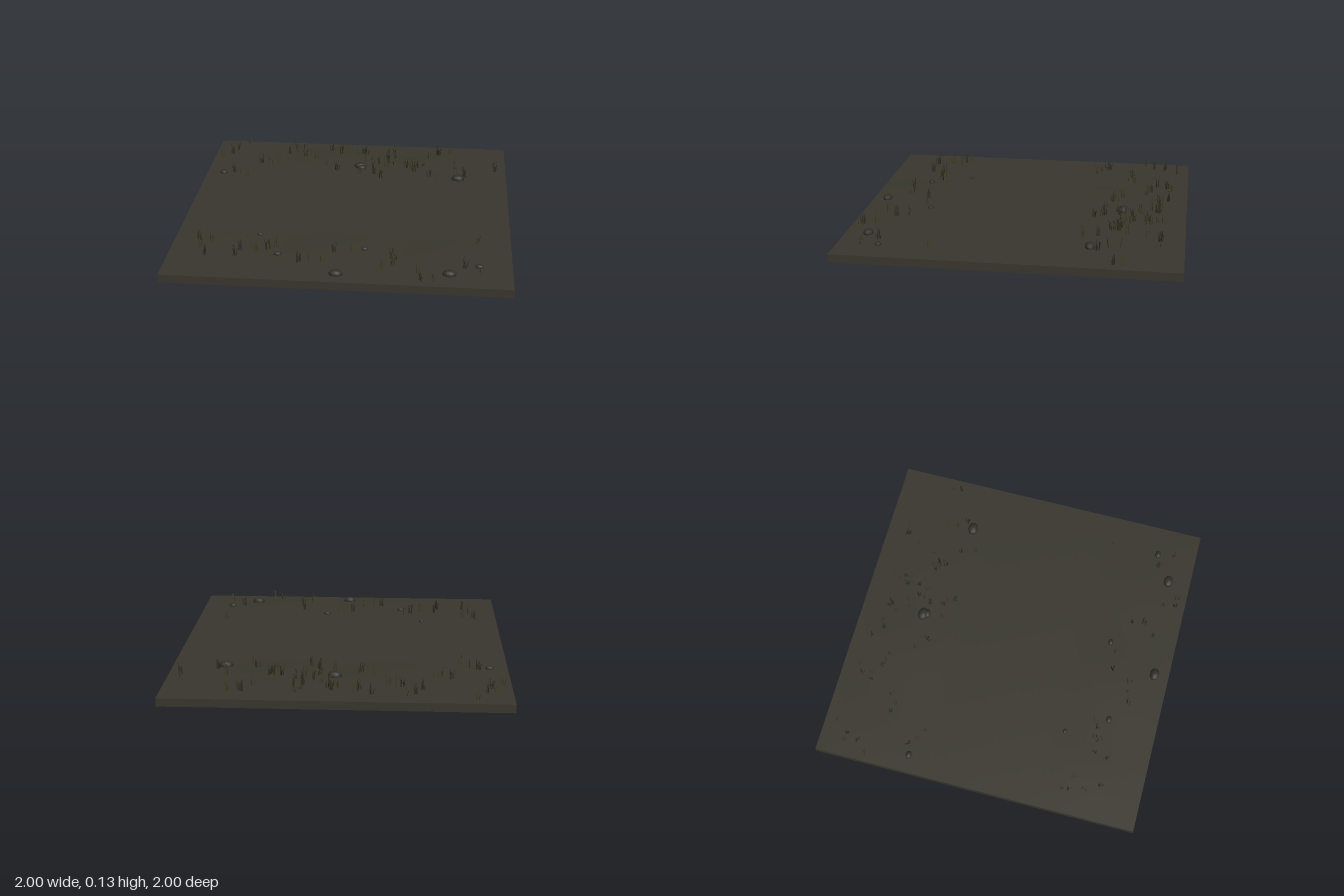
import * as THREE from 'three';

const material = (name, color, side = THREE.FrontSide) => {
  const m = new THREE.MeshStandardMaterial({ color, side });
  m.name = name;
  return m;
};
const soil = material('dark soil', 0x38362d);
const stone = material('dark stone', 0x30302a);
const grasses = [
  material('olive grass', 0x41402a, THREE.DoubleSide),
  material('dark grass', 0x2d2e21, THREE.DoubleSide),
];

// Small seeded random helper
let seed = 7;
const rand = (a, b) => {
  seed = (seed * 16807) % 2147483647;
  return a + (b - a) * (seed / 2147483647);
};

// Gentle verge swell on both sides of the flat middle strip
function groundHeight(x, z) {
  const t = (z > 0 ? z - 0.4 : -z - 0.34) / 0.6;
  if (t <= 0 || t >= 1 || Math.abs(x) >= 1) return 0.05;
  return 0.05 + 0.006 * Math.sin(Math.PI * t) * (1 - x * x) * (0.7 + 0.3 * Math.sin(x * 9 + z * 4));
}

function makeGround() {
  const geo = new THREE.BoxGeometry(2, 0.05, 2, 40, 1, 40).translate(0, 0.025, 0);
  const p = geo.attributes.position;
  for (let i = 0; i < p.count; i++) {
    if (p.getY(i) > 0.04) p.setY(i, groundHeight(p.getX(i), p.getZ(i)));
  }
  geo.computeVertexNormals();
  const mesh = new THREE.Mesh(geo, soil);
  mesh.name = 'groundSlab';
  return mesh;
}

// Squat, rounded stone half sunk in the ground
function makeRock(x, z, r) {
  const mesh = new THREE.Mesh(new THREE.SphereGeometry(1, 10, 7), stone);
  mesh.scale.set(r, r * 0.6, r * 0.75);
  mesh.position.set(x, groundHeight(x, z) + r * 0.15, z);
  mesh.name = 'rock';
  return mesh;
}

// Tuft of upright tapered blades, each leaning within its own vertical plane
function makeTuft(x, z, mat) {
  const pos = [];
  for (let i = 0; i < 7; i++) {
    const yaw = rand(0, Math.PI), c = Math.cos(yaw), s = Math.sin(yaw);
    const bx = rand(-0.012, 0.012), bz = rand(-0.012, 0.012);
    const h = rand(0.04, 0.08), w = 0.0035, lean = rand(-0.018, 0.018);
    const pt = (u, y) => [bx + u * c, y, bz + u * s];
    const a = pt(-w, -0.003), b = pt(w, -0.003);
    const d = pt(lean * 0.35 + w * 0.8, h * 0.55), e = pt(lean * 0.35 - w * 0.8, h * 0.55);
    pos.push(...a, ...b, ...d, ...a, ...d, ...e, ...e, ...d, ...pt(lean, h));
  }
  const geo = new THREE.BufferGeometry();
  geo.setAttribute('position', new THREE.Float32BufferAttribute(pos, 3));
  geo.computeVertexNormals();
  const mesh = new THREE.Mesh(geo, mat);
  mesh.position.set(x, groundHeight(x, z), z);
  mesh.name = 'grassTuft';
  return mesh;
}

export function createModel() {
  const model = new THREE.Group();
  model.name = 'grassyGroundTile';
  model.add(makeGround());

  // Rocks: x, z, radius
  const rocks = new THREE.Group();
  rocks.name = 'rocks';
  [
    [0.02, -0.61, 0.042], [0.03, -0.585, 0.03], [0.68, -0.46, 0.043], [-0.89, -0.435, 0.025],
    [-0.5, 0.455, 0.017], [0.14, 0.595, 0.022], [-0.36, 0.7, 0.024], [0, 0.91, 0.04],
    [0.64, 0.86, 0.04], [0.81, 0.755, 0.025],
  ].forEach((r) => rocks.add(makeRock(...r)));
  model.add(rocks);

  // Grass clumps: x, z, number of tufts
  const grass = new THREE.Group();
  grass.name = 'grass';
  [
    [-0.82, -0.9, 3], [-0.93, -0.76, 2], [-0.78, -0.45, 3], [-0.6, -0.6, 3], [-0.45, -0.85, 4],
    [-0.3, -0.77, 3], [-0.12, -0.83, 4], [0.02, -0.76, 5], [0.15, -0.64, 6], [0.22, -0.8, 5],
    [0.1, -0.47, 4], [0.33, -0.66, 5], [0.45, -0.62, 4], [0.55, -0.82, 4], [0.72, -0.56, 3],
    [0.9, -0.62, 2], [-0.2, -0.55, 3], [0.5, -0.45, 2],
    [-0.8, 0.7, 2], [-0.84, 0.5, 3], [-0.54, 0.7, 4], [-0.43, 0.61, 3], [-0.17, 0.77, 3],
    [0.04, 0.64, 2], [0.29, 0.82, 3], [0.38, 0.72, 3], [0.52, 0.91, 3], [0.8, 0.8, 2],
    [0.78, 0.52, 1],
  ].forEach(([x, z, n]) => {
    for (let i = 0; i < n; i++) {
      const tx = THREE.MathUtils.clamp(x + rand(-0.08, 0.08), -0.95, 0.93);
      const tz = THREE.MathUtils.clamp(z + rand(-0.07, 0.07), -0.93, 0.94);
      grass.add(makeTuft(tx, tz, grasses[i % 2]));
    }
  });
  model.add(grass);
  return model;
}
